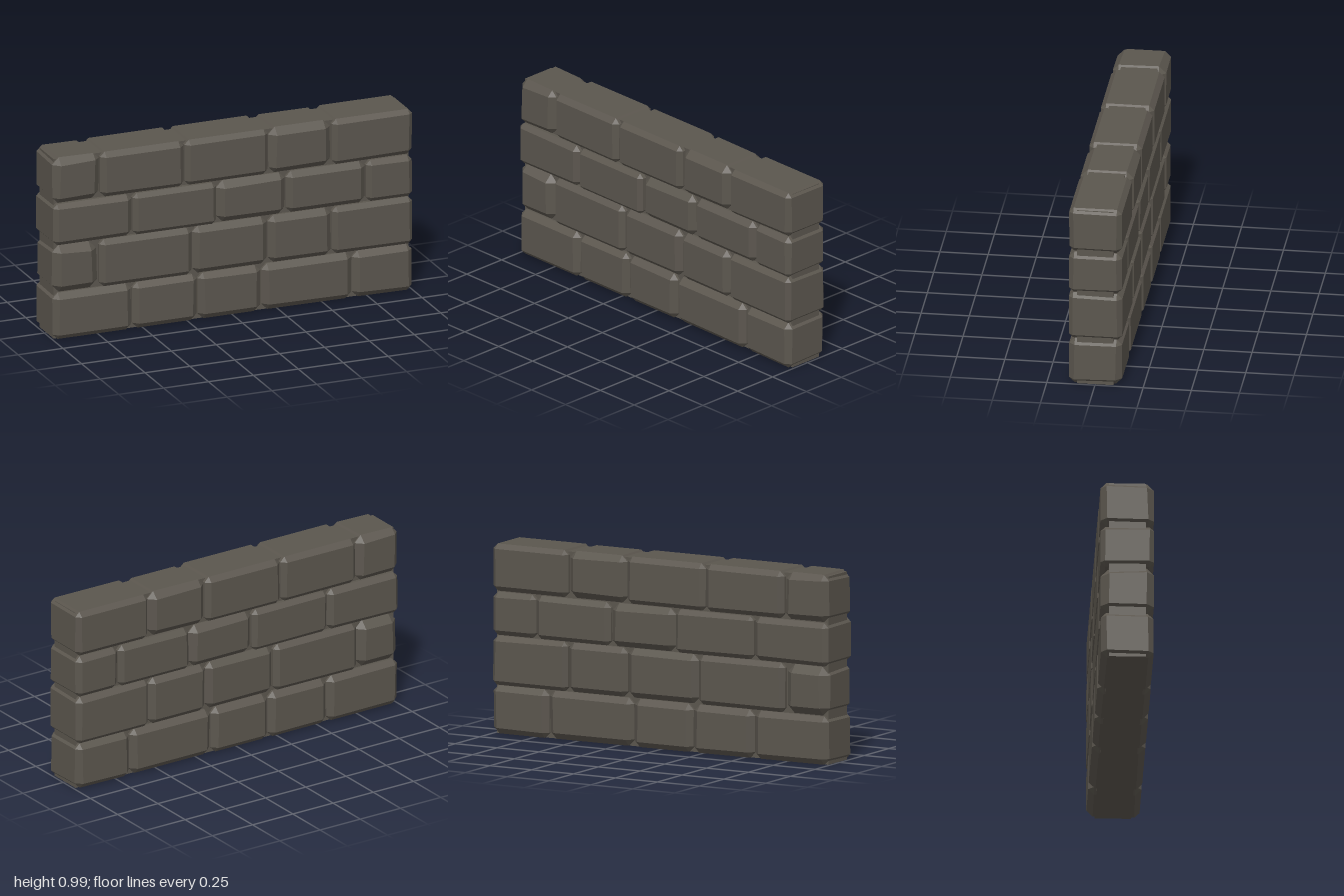
import * as THREE from 'three';
import { ConvexGeometry } from 'three/addons/geometries/ConvexGeometry.js';

// Small seeded generator for hand-cut variation
let seed = 7;
const rand = () => (seed = (seed * 16807) % 2147483647) / 2147483647;

// Box with every edge and corner cut; the cut varies a little per corner
function stoneBlock(w, h, d, cut) {
  const points = [];
  for (const sx of [-1, 1]) for (const sy of [-1, 1]) for (const sz of [-1, 1]) {
    const c = cut * (0.88 + 0.24 * rand());
    const x = w / 2, y = h / 2, z = d / 2;
    points.push(
      new THREE.Vector3(sx * x, sy * (y - c), sz * (z - c)),
      new THREE.Vector3(sx * (x - c), sy * y, sz * (z - c)),
      new THREE.Vector3(sx * (x - c), sy * (y - c), sz * z));
  }
  return new ConvexGeometry(points);
}

// Each course: bottom, top, joint positions along x, cut size per block
const courses = [
  { y0: 0.003, y1: 0.255, joints: [-1, -0.56, -0.195, 0.16, 0.665, 1], cuts: [0.029, 0.03, 0.03, 0.032, 0.03] },
  { y0: 0.258, y1: 0.515, joints: [-1, -0.745, -0.225, 0.195, 0.55, 1], cuts: [0.042, 0.026, 0.03, 0.03, 0.025] },
  { y0: 0.518, y1: 0.743, joints: [-1, -0.56, -0.09, 0.295, 0.74, 1], cuts: [0.025, 0.024, 0.034, 0.027, 0.026] },
  { y0: 0.748, y1: 0.994, joints: [-1, -0.74, -0.27, 0.2, 0.55, 1], cuts: [0.034, 0.025, 0.025, 0.034, 0.025] },
];

export function createModel() {
  const wall = new THREE.Group();
  wall.name = 'stoneWall';
  const stone = new THREE.MeshStandardMaterial({ color: 0x5b564e, flatShading: true });
  stone.name = 'dark stone';

  // Recessed core filling the joints
  const core = new THREE.Mesh(new THREE.BoxGeometry(1.976, 0.982, 0.19), stone);
  core.name = 'mortarCore';
  core.position.y = 0.494;
  wall.add(core);

  // Staggered blocks
  courses.forEach(({ y0, y1, joints, cuts }, row) => {
    const course = new THREE.Group();
    course.name = `course${row + 1}`;
    cuts.forEach((cut, i) => {
      const a = joints[i] + (i ? 0.003 : 0);
      const b = joints[i + 1] - (i < cuts.length - 1 ? 0.003 : 0);
      const block = new THREE.Mesh(stoneBlock(b - a, y1 - y0, 0.272 + 0.006 * rand(), cut), stone);
      block.name = `block${i + 1}`;
      block.position.set((a + b) / 2, (y0 + y1) / 2, 0);
      course.add(block);
    });
    wall.add(course);
  });
  wall.position.y = -0.003;

  const model = new THREE.Group();
  model.name = 'wallSection';
  model.add(wall);
  return model;
}
